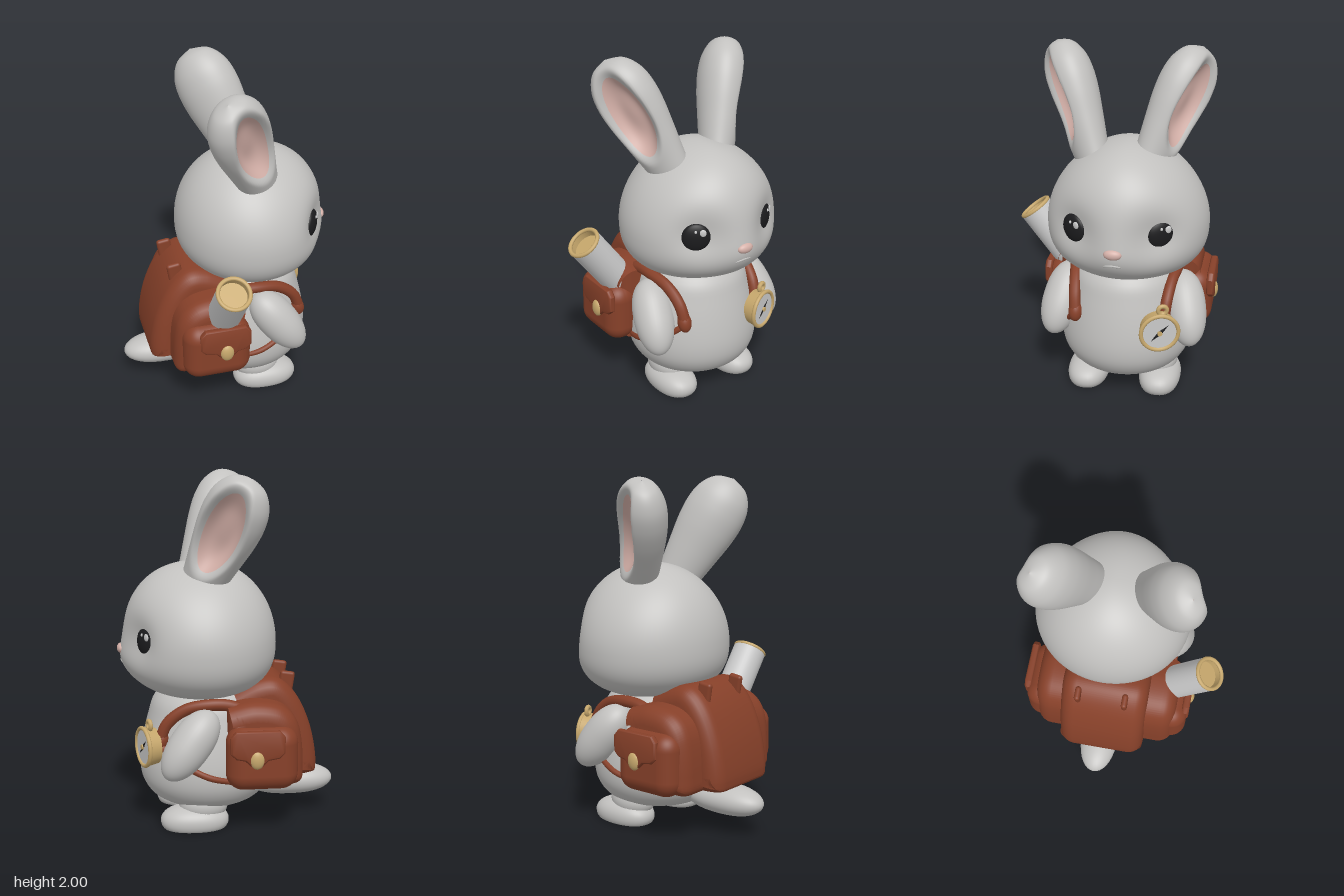
import * as THREE from 'three';
import { mergeVertices, toCreasedNormals } from 'three/addons/utils/BufferGeometryUtils.js';
import { RoundedBoxGeometry } from 'three/addons/geometries/RoundedBoxGeometry.js';

const MID = -0.09; // symmetry plane of the rabbit in z; it faces +x
const BAG = -0.075; // symmetry plane of the backpack
const V = (x, y, z) => new THREE.Vector3(x, y, z);
const mat = (name, color, side = THREE.FrontSide) => {
  const m = new THREE.MeshStandardMaterial({ color, side });
  m.name = name;
  return m;
};

export function createModel() {
  const root = new THREE.Group();
  const fur = mat('fur grey', 0xc2c1bf);
  const leather = mat('brown leather', 0x864029);
  const brass = mat('tan brass', 0xc6a76c, THREE.DoubleSide);
  const pink = mat('ear pink', 0xd4b0a8, THREE.DoubleSide);
  const black = mat('eye black', 0x1c1c1e);
  const white = mat('paper white', 0xc9c9c9, THREE.DoubleSide);

  const add = (name, geo, material, parent = root) => {
    const m = new THREE.Mesh(geo, material);
    m.name = name;
    parent.add(m);
    return m;
  };
  const ball = (name, material, p, s, parent = root) => {
    const m = add(name, new THREE.SphereGeometry(1, 32, 24), material, parent);
    m.position.copy(p);
    m.scale.copy(s);
    return m;
  };
  const aim = (m, dir) => m.quaternion.setFromUnitVectors(V(0, 1, 0), dir.clone().normalize());
  const tube = (name, material, pts, r) =>
    add(name, new THREE.TubeGeometry(new THREE.CatmullRomCurve3(pts), 40, r, 10), material);
  // move every vertex by a rule, weld the seams and smooth
  const deform = (geo, rule) => {
    geo.deleteAttribute('uv');
    geo.deleteAttribute('normal');
    const p = geo.attributes.position, v = V(0, 0, 0);
    for (let i = 0; i < p.count; i++) {
      rule(v.fromBufferAttribute(p, i));
      p.setXYZ(i, v.x, v.y, v.z);
    }
    const g = mergeVertices(geo, 1e-5);
    g.computeVertexNormals();
    return g;
  };
  const blunt = (t, e) => Math.sign(t) * Math.pow(Math.abs(t), e);

  // Body
  const outline = new THREE.SplineCurve([[0, 0.1], [0.18, 0.105], [0.3, 0.15], [0.365, 0.23], [0.385, 0.33], [0.372, 0.46],
    [0.335, 0.62], [0.295, 0.73], [0.2, 0.8], [0, 0.82]].map(([r, y]) => new THREE.Vector2(r, y)));
  const profile = outline.getPoints(40).map(p => new THREE.Vector2(Math.max(0, p.x), p.y));
  add('body', new THREE.LatheGeometry(profile, 56), fur).position.set(0.12, 0, MID);

  // Head: full cheeks and brow, narrower crown, eye hollows and a muzzle
  const bump = (a, b, s) => Math.exp(-(a * a + b * b) / (s * s));
  const swell = (y, e) => Math.pow(Math.max(0, 1 - Math.pow(Math.abs(y), e)), 1 / e) / Math.sqrt(Math.max(1e-9, 1 - y * y));
  add('head', deform(new THREE.SphereGeometry(1, 80, 56), v => {
    const { x, y, z } = v;
    const fx = swell(y, y < 0 ? 2.5 : x > 0 ? 2.3 : 2.05), fz = swell(y, y < 0 ? 2.7 : 1.83);
    v.set(0.15 + x * (x > 0 ? 0.445 : 0.43) * fx, 1.045 + y * (y > 0 ? 0.465 : 0.305), -0.1 + z * 0.46 * fz);
    if (x > 0) {
      for (const k of [-1, 1]) v.x -= 0.06 * bump(v.z - MID - k * 0.235, v.y - 1.09, 0.13);
      v.x += 0.022 * bump(v.z - MID, v.y - 0.96, 0.13);
    }
  }), fur);
  ball('nose', pink, V(0.6, 1.012, MID), V(0.028, 0.03, 0.05));
  tube('mouth', fur, [V(0.553, 0.915, 0), V(0.594, 0.94, -0.055), V(0.6, 0.945, MID),
    V(0.594, 0.94, -0.125), V(0.553, 0.915, -0.18)], 0.008);

  // Ears: plump teardrop with a hollow front; s runs along the ear, h across it
  const earW = new THREE.SplineCurve([[-0.44, 0.11], [-0.3, 0.13], [-0.15, 0.155], [0, 0.178], [0.12, 0.182],
    [0.22, 0.16], [0.3, 0.1], [0.335, 0.002]].map(p => new THREE.Vector2(...p))).getPoints(120);
  const widthAt = s => {
    const i = earW.findIndex(p => p.x >= s);
    if (i < 0) return 0.002;
    if (i === 0) return earW[0].y;
    const a = earW[i - 1], b = earW[i];
    return Math.max(0.002, a.y + (b.y - a.y) * (s - a.x) / (b.x - a.x));
  };
  const thickAt = s => widthAt(s) * 0.78;
  const earFront = (s, h) => {
    const w = widthAt(s), d = ((s - 0.02) / 0.31) ** 2 + (h / 0.145) ** 2;
    const hollow = d < 1 ? (1 - d) * (1 - d) * (1 + 2 * d) : 0;
    return thickAt(s) * Math.sqrt(Math.max(0, 1 - (h / w) ** 2)) - 0.12 * hollow;
  };
  const earGeo = deform(new THREE.CylinderGeometry(1, 1, 1, 72, 72, true), v => {
    const u = Math.atan2(v.z, v.x), s = 0.335 - 0.775 * (0.5 - v.y) ** 1.5;
    const h = widthAt(s) * Math.cos(u);
    v.set(h, s, Math.sin(u) >= 0 ? earFront(s, h) : thickAt(s) * Math.sin(u));
  });
  const innerGeo = deform(new THREE.RingGeometry(0.001, 1, 40, 14), v => {
    const s = 0.01 + v.y * 0.245, h = v.x * 0.105;
    v.set(h, s, earFront(s, h) + 0.006);
  });
  for (const k of [-1, 1]) {
    const ear = new THREE.Group();
    ear.name = k > 0 ? 'rightEar' : 'leftEar';
    const a = V(-0.36, 0.86, 0.36 * k).normalize(), n = V(0.52, -0.138, 0.85 * k).normalize();
    const w = a.clone().cross(n).normalize();
    ear.quaternion.setFromRotationMatrix(new THREE.Matrix4().makeBasis(w, a, w.clone().cross(a)));
    ear.position.set(0.03, 1.69, -0.06 + k * 0.29);
    add('earShell', earGeo, fur, ear);
    add('earInner', innerGeo, pink, ear);
    root.add(ear);
  }

  // Eyes, arms, feet and legs
  const footGeo = deform(new THREE.SphereGeometry(1, 36, 28), v => {
    v.set(blunt(v.x, 0.88) * 0.195, Math.max(0, 0.045 + blunt(v.y, 0.95) * 0.09), blunt(v.z, 0.88) * 0.122);
  });
  const armGeo = deform(new THREE.SphereGeometry(1, 36, 28), v => {
    const r = 0.117 * (1 - 0.06 * v.y);
    v.set(v.x * r, blunt(v.y, 0.88) * 0.225, v.z * r);
  });
  for (const k of [-1, 1]) {
    const eye = new THREE.Group();
    eye.name = 'eye';
    eye.position.set(0.466, 1.09, MID + k * 0.235);
    eye.rotation.y = -k * 0.56;
    ball('eyeball', black, V(0, 0, 0), V(0.032, 0.082, 0.08), eye);
    ball('eyeHighlight', white, V(0.026, 0.034, -0.036), V(0.007, 0.021, 0.019), eye);
    ball('eyeGlint', white, V(0.027, 0.042, 0.004), V(0.006, 0.009, 0.008), eye);
    root.add(eye);
    const arm = add('arm', armGeo, fur);
    arm.position.set(0.24, 0.53, MID + k * 0.36);
    aim(arm, V(0.23, -0.3, k * 0.08));
    add('foot', footGeo, fur).position.set(0.205, 0, MID + k * 0.215);
    ball('leg', fur, V(0.155, 0.13, MID + k * 0.2), V(0.14, 0.1, 0.11));
  }
  add('tail', deform(new THREE.SphereGeometry(1, 36, 28), v => {
    v.set(blunt(v.x, 0.82) * 0.26, v.y * 0.09, v.z * 0.118);
  }), fur).position.set(-0.37, 0.2, -0.1);

  // Backpack
  const slab = (name, pts, z0, z1, bevel, curved = true) => {
    const vs = pts.map(p => new THREE.Vector2(...p));
    const shape = new THREE.Shape();
    if (curved) {
      shape.moveTo(vs[0].x, vs[0].y);
      shape.splineThru(vs.slice(1));
    } else shape.setFromPoints(vs);
    const g = new THREE.ExtrudeGeometry(shape, { depth: z1 - z0 - 2 * bevel, bevelSize: bevel, bevelThickness: bevel,
      bevelOffset: -bevel, bevelSegments: 6, curveSegments: 32 });
    g.translate(0, 0, z0 + bevel);
    return add(name, toCreasedNormals(g, 0.7), leather);
  };
  slab('backpackMain', [[0.02, 0.28], [-0.2, 0.275], [-0.45, 0.285], [-0.5, 0.34], [-0.47, 0.55], [-0.39, 0.74],
    [-0.28, 0.85], [-0.15, 0.85], [0.02, 0.77]], BAG - 0.265, BAG + 0.255, 0.09);
  slab('backpackSides', [[0.03, 0.29], [-0.2, 0.28], [-0.37, 0.29], [-0.395, 0.4], [-0.37, 0.62],
    [-0.28, 0.73], [-0.12, 0.76], [0.03, 0.73]], BAG - 0.43, BAG + 0.43, 0.095);
  for (const k of [-1, 1]) {
    const zz = d => MID + k * d;
    const lug = add('backpackLug', new RoundedBoxGeometry(0.085, 0.16, 0.035, 4, 0.017), leather);
    lug.position.set(-0.325, 0.805, MID + k * 0.14);
    lug.rotation.z = 0.15;
    add('sidePocket', new RoundedBoxGeometry(0.4, 0.36, 0.2, 6, 0.095), leather).position.set(-0.155, 0.46, BAG + k * 0.4);
    const zf = BAG + k * 0.49;
    slab('pocketFlap', [[-0.27, 0.6], [-0.24, 0.635], [0, 0.635], [0.03, 0.6], [0.03, 0.51], [0, 0.48], [-0.05, 0.47],
      [-0.08, 0.44], [-0.15, 0.44], [-0.18, 0.47], [-0.24, 0.48], [-0.27, 0.51]], zf - 0.025, zf + 0.02, 0.015, false);
    ball('pocketBuckle', brass, V(-0.115, 0.475, BAG + k * 0.506), V(0.04, 0.052, 0.024));
    // Shoulder strap and the thin lower strap
    tube('shoulderStrap', leather, [V(-0.08, 0.7, zz(0.3)), V(0.02, 0.735, zz(0.3)), V(0.13, 0.74, zz(0.3)),
      V(0.26, 0.71, zz(0.28)), V(0.36, 0.63, zz(0.265)), V(0.405, 0.52, zz(0.255))], 0.033);
    tube('lowerStrap', leather, [V(0, 0.31, zz(0.36)), V(0.13, 0.345, zz(0.385)), V(0.25, 0.4, zz(0.36)),
      V(0.35, 0.46, zz(0.305)), V(0.405, 0.52, zz(0.255))], 0.018);
    aim(ball('strapEnd', leather, V(0.395, 0.53, zz(0.255)), V(0.04, 0.06, 0.04)), V(-0.3, 1, 0));
  }

  // Rolled map sticking out of the +z pocket
  const map = new THREE.Group();
  map.name = 'rolledMap';
  map.position.set(-0.1, 0.935, 0.515);
  aim(map, V(0, 0.8, 0.6));
  add('mapRoll', new THREE.CylinderGeometry(0.1, 0.1, 0.5, 36, 1, true), white, map).position.y = -0.25;
  add('mapLining', new THREE.CylinderGeometry(0.082, 0.082, 0.06, 36, 1, true), brass, map).position.y = -0.03;
  add('mapCore', new THREE.CircleGeometry(0.082, 36).rotateX(-Math.PI / 2), brass, map).position.y = -0.045;
  add('mapRim', new THREE.TorusGeometry(0.091, 0.012, 10, 40).rotateX(Math.PI / 2), brass, map);
  root.add(map);

  // Compass hanging on the -z strap; its dial looks along local x
  const compass = new THREE.Group();
  compass.name = 'compass';
  compass.position.set(0.475, 0.495, -0.33);
  compass.rotation.y = 0.33;
  const dial = new THREE.Group();
  dial.name = 'compassDial';
  dial.rotation.z = -Math.PI / 2;
  add('compassCase', new THREE.CylinderGeometry(0.112, 0.1, 0.07, 40), brass, dial).position.y = -0.02;
  add('compassFace', new THREE.CylinderGeometry(0.1, 0.1, 0.006, 40), white, dial).position.y = 0.017;
  add('compassRim', new THREE.TorusGeometry(0.106, 0.012, 10, 48).rotateX(Math.PI / 2), brass, dial).position.y = 0.018;
  add('compassPin', new THREE.CylinderGeometry(0.014, 0.014, 0.01, 16), brass, dial).position.y = 0.026;
  compass.add(dial);
  const needle = add('compassNeedle', new THREE.OctahedronGeometry(1), black, compass);
  needle.position.set(0.022, 0, 0);
  needle.scale.set(0.004, 0.07, 0.013);
  needle.rotation.x = -0.8;
  add('compassLoop', new THREE.TorusGeometry(0.024, 0.013, 8, 24).rotateY(Math.PI / 2), brass, compass).position.set(-0.01, 0.128, -0.02);
  root.add(compass);

  return root;
}
